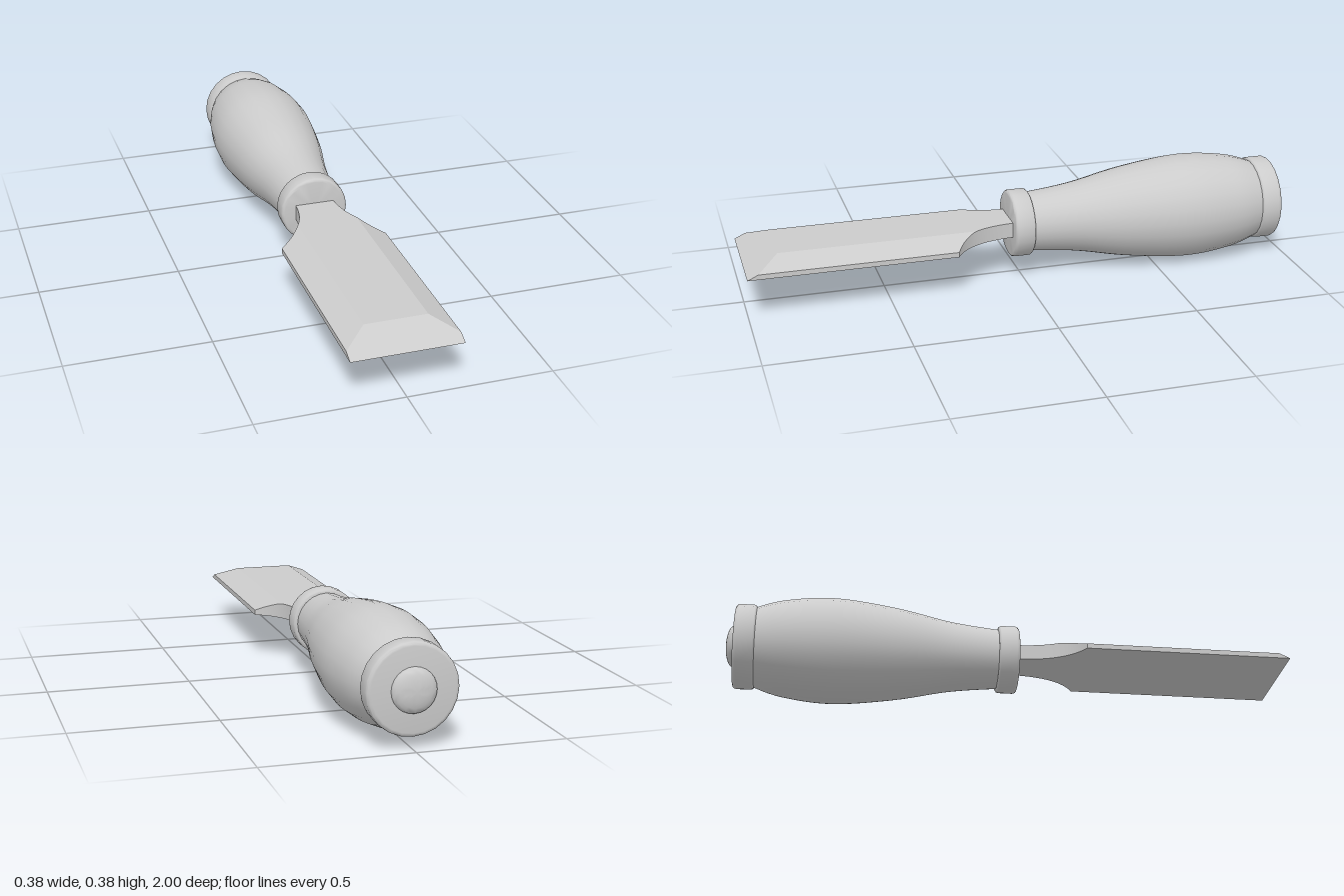
import * as THREE from 'three';
import { toCreasedNormals } from 'three/addons/utils/BufferGeometryUtils.js';

const AXIS_Y = 0.192;
const V = (x, y) => new THREE.Vector2(x, y);

// Turned part around the z axis; profile points are [radius, distance behind z = 0]
function turned(name, points, material, crease = 0.7) {
  const geo = new THREE.LatheGeometry(points, 24);
  geo.rotateX(-Math.PI / 2);
  const mesh = new THREE.Mesh(toCreasedNormals(geo, crease), material);
  mesh.position.y = AXIS_Y;
  mesh.name = name;
  return mesh;
}

// Closed disc profile with rounded rims
function ringProfile(radius, from, to, round) {
  const pts = [V(0, from)];
  for (let i = 0; i <= 4; i++) {
    const a = (i / 4) * Math.PI / 2;
    pts.push(V(radius - round + round * Math.sin(a), from + round - round * Math.cos(a)));
  }
  for (let i = 0; i <= 4; i++) {
    const a = (i / 4) * Math.PI / 2;
    pts.push(V(radius - round + round * Math.cos(a), to - round + round * Math.sin(a)));
  }
  pts.push(V(0, to));
  return pts;
}

function bladeGeometry() {
  const bottom = 0.165, top = 0.22, edge = 0.183;
  const half = 0.19, flat = 0.108, bevelStart = 0.885;
  const slope = (top - edge) / (half - flat);

  // Stations: [z, half width]; curved neck, straight body, ground tip
  const neck = new THREE.QuadraticBezierCurve(V(0.07, 0.03), V(0.076, 0.205), V(half, 0.267));
  const stations = neck.getPoints(16).map(p => [p.y, p.x]);
  const tipEdge = 1 - (1 - bevelStart) * (edge - bottom) / (top - bottom);
  stations.push([bevelStart, half], [tipEdge, half], [1, half]);

  // Six-point cross-section: flat underside, low side walls, side bevels, flat top
  const rings = stations.map(([z, w]) => {
    const t = Math.max(0, (z - bevelStart) / (1 - bevelStart));
    const h = top - t * (top - bottom);
    const side = Math.min(h, edge + (half - w) * slope);
    const tx = Math.min(w, half - (h - edge) / slope);
    return [[-w, bottom], [w, bottom], [w, side], [tx, h], [-tx, h], [-w, side]]
      .map(([x, y]) => [x, y, z]);
  });

  const pos = [];
  const tri = (a, b, c) => pos.push(...a, ...b, ...c);
  for (let i = 0; i < rings.length - 1; i++) {
    const a = rings[i], b = rings[i + 1];
    for (let j = 0; j < 6; j++) {
      const k = (j + 1) % 6;
      tri(a[j], a[k], b[k]);
      tri(a[j], b[k], b[j]);
    }
  }
  // Closed neck end
  const r = rings[0];
  for (let j = 1; j < 5; j++) tri(r[0], r[j + 1], r[j]);

  const geo = new THREE.BufferGeometry();
  geo.setAttribute('position', new THREE.Float32BufferAttribute(pos, 3));
  return toCreasedNormals(geo, 0.28);
}

export function createModel() {
  const group = new THREE.Group();
  group.name = 'chisel';
  const mat = new THREE.MeshStandardMaterial({ color: 0xcccccc });

  const blade = new THREE.Mesh(bladeGeometry(), mat);
  blade.name = 'blade';
  group.add(blade);

  // Swelling grip
  const grip = new THREE.SplineCurve([
    V(0.106, 0.02), V(0.126, 0.2), V(0.166, 0.4), V(0.19, 0.62), V(0.173, 0.8), V(0.139, 0.91),
  ]);
  group.add(turned('grip', grip.getPoints(30), mat));

  // Collar at the blade, cap and striking button at the end
  group.add(turned('ferrule', ringProfile(0.122, -0.04, 0.034, 0.012), mat));
  group.add(turned('endCap', ringProfile(0.152, 0.893, 0.97, 0.014), mat));

  const button = [V(0.074, 0.96)];
  for (let i = 0; i <= 6; i++) {
    const a = (i / 6) * Math.PI / 2;
    button.push(V(0.074 * Math.cos(a), 0.974 + 0.026 * Math.sin(a)));
  }
  group.add(turned('strikingButton', button, mat, 0.9));

  return group;
}
